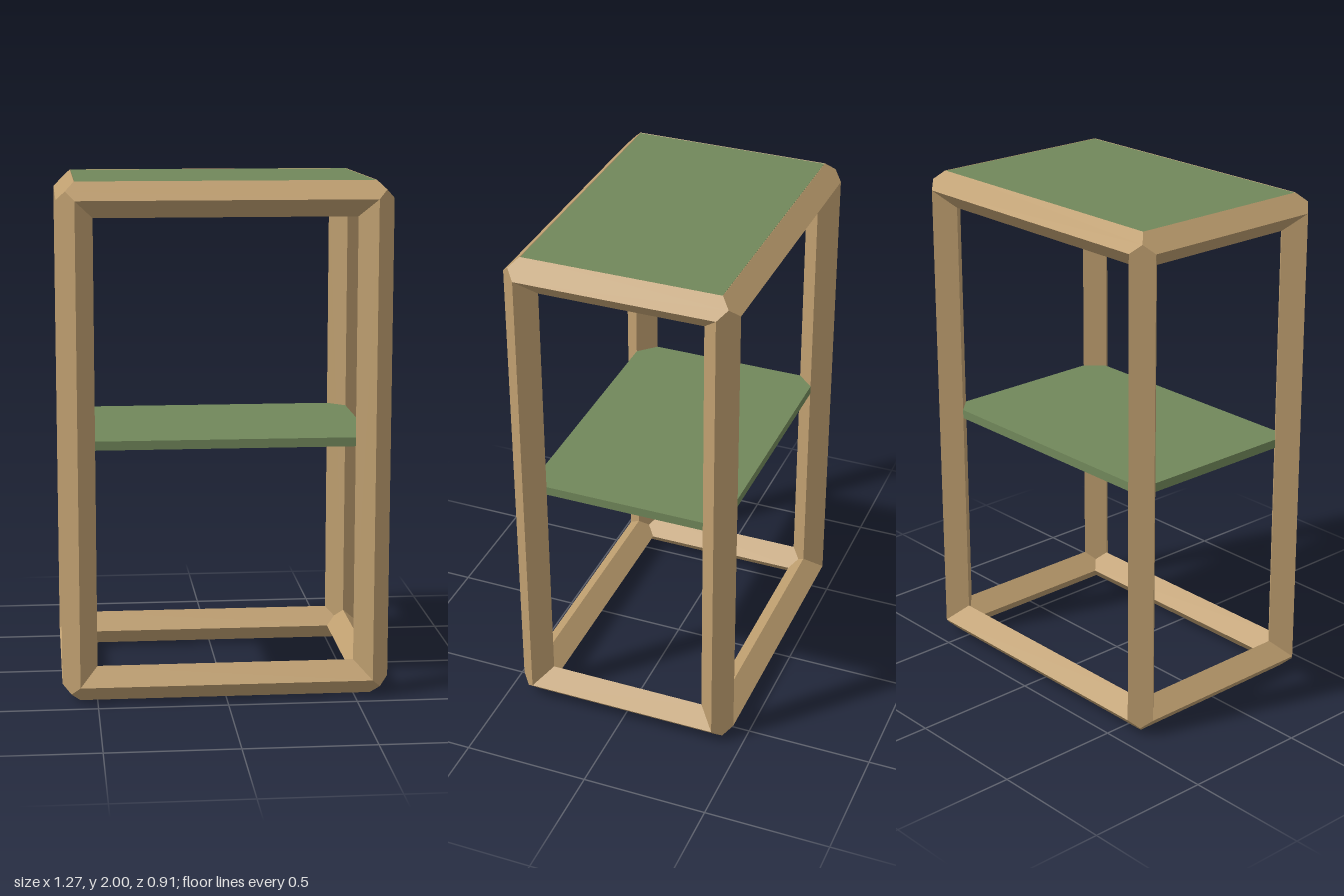
import * as THREE from 'three';
import { ConvexGeometry } from 'three/addons/geometries/ConvexGeometry.js';

const C = [0.567, 0.932, 0.388]; // half extents of the beam centre lines
const T = 0.068;                 // half diagonal of a beam's square section

const wood = new THREE.MeshStandardMaterial({ color: 0xbf9f70, flatShading: true });
const green = new THREE.MeshStandardMaterial({ color: 0x71875a });

// Diamond-section beam along one axis, ending in the shared chamfered corner points
function beam(name, axis, su, sv) {
  const u = (axis + 1) % 3, v = (axis + 2) % 3;
  const points = [];
  const add = (along, du, dv) => {
    const p = [0, 0, 0];
    p[axis] = along;
    p[u] = su * (C[u] + du);
    p[v] = sv * (C[v] + dv);
    points.push(new THREE.Vector3(...p));
  };
  for (const end of [-1, 1]) {
    for (const [du, dv] of [[T, 0], [0, T], [-T, 0], [0, -T]]) add(end * C[axis], du, dv);
    add(end * (C[axis] + T / 2), T / 2, T / 2);
  }
  const mesh = new THREE.Mesh(new ConvexGeometry(points), wood);
  mesh.name = name;
  return mesh;
}

function board(name, width, depth, top) {
  const thickness = 0.035;
  const mesh = new THREE.Mesh(new THREE.BoxGeometry(width, thickness, depth), green);
  mesh.name = name;
  mesh.position.y = top - thickness / 2;
  return mesh;
}

export function createModel() {
  const model = new THREE.Group();
  model.name = 'shelfUnit';

  // Frame: four beams along each axis
  const frame = new THREE.Group();
  frame.name = 'frame';
  frame.position.y = 1;
  ['widthRail', 'leg', 'depthRail'].forEach((name, axis) => {
    for (const su of [-1, 1]) for (const sv of [-1, 1]) frame.add(beam(name, axis, su, sv));
  });
  model.add(frame);

  // Top panel between the upper ridges, and the shelf held by the legs
  model.add(board('topPanel', 2 * C[0] - 0.004, 2 * C[2] - 0.004, 1.999));
  model.add(board('shelf', 2 * C[0], 2 * C[2], 1.019));
  return model;
}
